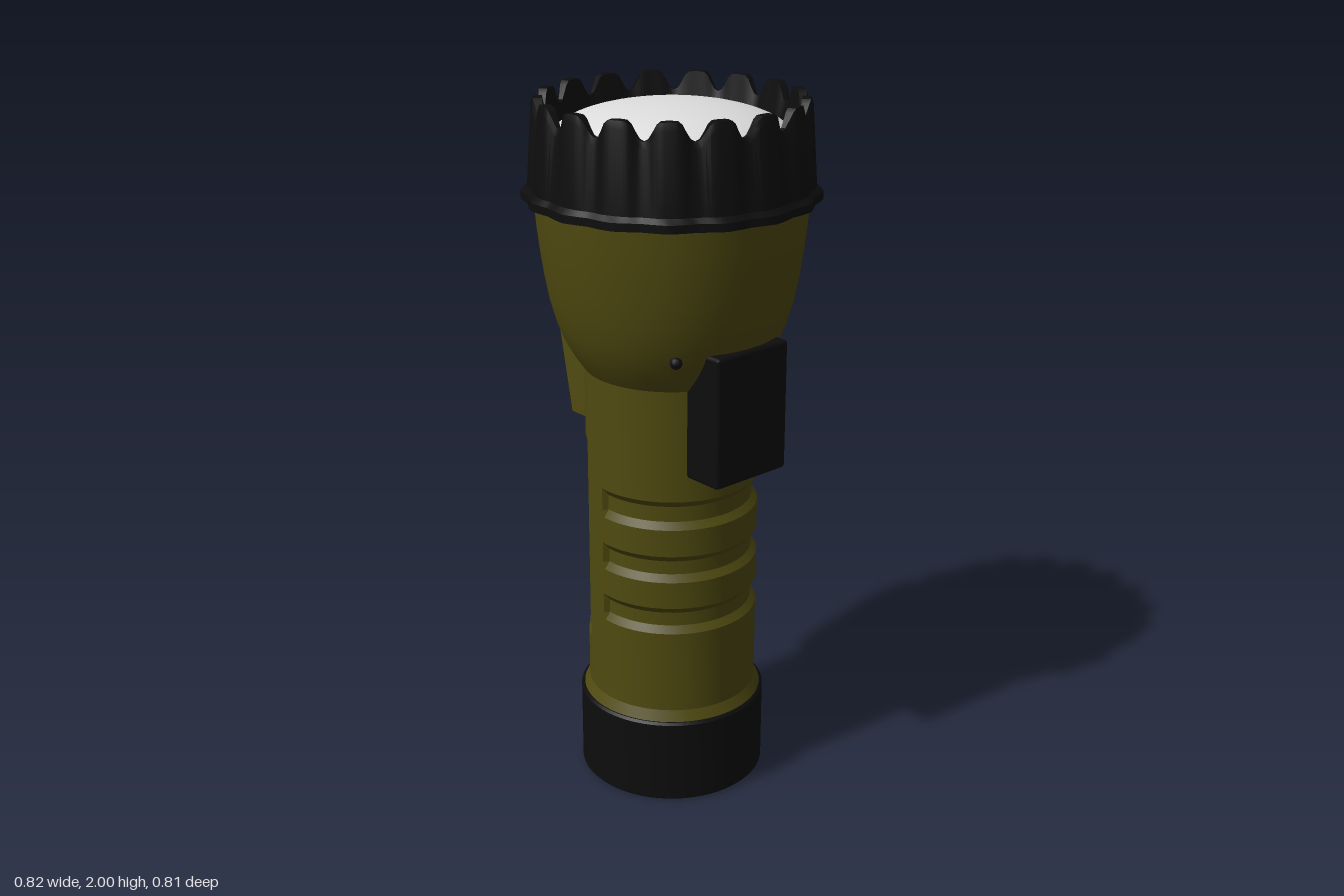
import * as THREE from 'three';
import { toCreasedNormals } from 'three/addons/utils/BufferGeometryUtils.js';
import { RoundedBoxGeometry } from 'three/addons/geometries/RoundedBoxGeometry.js';

const olive = new THREE.MeshStandardMaterial({ color: 0x504a10 });
olive.name = 'olive plastic';
const black = new THREE.MeshStandardMaterial({ color: 0x0d0d0d });
black.name = 'black rubber';
const glass = new THREE.MeshStandardMaterial({ color: 0xdedede });
glass.name = 'pale lens';

const clamp01 = (v) => Math.min(1, Math.max(0, v));

// Skin over rows x angles (degrees from +x); fn(row, angle) returns [radius, y]
function skin(rows, angles, fn, crease = 0.5) {
  const pos = [], index = [], n = angles.length;
  rows.forEach((row) => angles.forEach((deg) => {
    const [r, y] = fn(row, deg), a = THREE.MathUtils.degToRad(deg);
    pos.push(r * Math.cos(a), y, -r * Math.sin(a));
  }));
  for (let i = 0; i < rows.length - 1; i++) {
    for (let j = 0; j < n - 1; j++) {
      const a = i * n + j, b = a + 1, c = a + n, d = c + 1;
      index.push(a, b, c, b, d, c);
    }
  }
  const g = new THREE.BufferGeometry();
  g.setAttribute('position', new THREE.Float32BufferAttribute(pos, 3));
  g.setIndex(index);
  return toCreasedNormals(g, crease);
}

const around = (steps) => Array.from({ length: steps + 1 }, (_, i) => -180 + (360 * i) / steps);
const revolve = (profile, crease) => skin(profile, around(72), (p) => p, crease);

// Handle tube with grip grooves on one side and upright flutes on the other
function handleGeometry() {
  const A = 2, H = 0.02; // wall slope in degrees and height
  const recesses = [
    [-94, 94, 0.85, 0.935], [-94, 94, 0.69, 0.77], [-94, 94, 0.53, 0.61],
    [116, 140, 0.43, 1.05], [145, 165, 0.43, 1.05],
  ];
  const angles = new Set(around(72)), ys = new Set([0.25, 0.285, 1.27]);
  for (const [a0, a1, y0, y1] of recesses) {
    for (const a of [a0, a0 + A, a1 - A, a1]) { angles.add(a); angles.add(-a); }
    for (const y of [y0, y0 + H, y1 - H, y1]) ys.add(+y.toFixed(4));
  }
  const sorted = (s) => [...s].sort((p, q) => p - q);
  return skin(sorted(ys), sorted(angles), (y, deg) => {
    const a = Math.abs(deg);
    let depth = 0;
    for (const [a0, a1, y0, y1] of recesses) {
      const k = Math.min((a - a0) / A, (a1 - a) / A, (y - y0) / H, (y1 - y) / H);
      depth = Math.max(depth, 0.016 * clamp01(k));
    }
    return [(y < 0.26 ? 0.262 : 0.244) - depth, y];
  }, 0.3);
}

// Crown bezel: pointed flange, fluted wall and 17 rounded teeth
function bezelGeometry() {
  const teeth = 17;
  const rows = ['under', 'flangeLow', 'flangeHigh', 'wallLow', 'wallHigh', 'rimOuter', 'rimInner', 'seat'];
  return skin(rows, around(teeth * 12), (row, deg) => {
    const t = (((deg * teeth) / 360) % 1 + 1) % 1;
    const off = Math.min(t, 1 - t) * 2; // 0 on a tooth, 1 in a notch
    const s = clamp01((off - 0.35) / 0.55);
    const notch = s * s * (3 - 2 * s);
    const top = 2 - 0.012 * off * off - 0.04 * notch;
    const star = 0.405 - 0.013 * off;
    switch (row) {
      case 'under': return [0.365, 1.725];
      case 'flangeLow': return [star, 1.73];
      case 'flangeHigh': return [star, 1.752];
      case 'wallLow': return [0.387 - 0.006 * notch, 1.765];
      case 'wallHigh': return [0.372 - 0.012 * notch, top - 0.02];
      case 'rimOuter': return [0.366 - 0.012 * notch, top];
      case 'rimInner': return [0.342, top];
      default: return [0.321, 1.89];
    }
  }, 0.5);
}

// Upright arched slab facing -x, leaning outward toward its top
function leaningSlab(halfWidth, y0, y1, outerX, depth, bevelSize, bevelThickness) {
  const w = halfWidth - bevelSize, lo = y0 + bevelSize, hi = y1 - bevelSize;
  const r = w * 0.75;
  const s = new THREE.Shape();
  s.moveTo(-w, lo);
  s.lineTo(w, lo);
  s.lineTo(w, hi - r);
  s.quadraticCurveTo(w, hi, w - r, hi);
  s.lineTo(r - w, hi);
  s.quadraticCurveTo(-w, hi, -w, hi - r);
  s.closePath();
  const g = new THREE.ExtrudeGeometry(s, {
    depth, bevelEnabled: true, bevelSize, bevelThickness, bevelSegments: 1, curveSegments: 6,
  });
  g.rotateY(-Math.PI / 2);
  g.translate(outerX + depth + bevelThickness, 0, 0);
  const p = g.attributes.position;
  for (let i = 0; i < p.count; i++) p.setX(i, p.getX(i) - (p.getY(i) - 1.06) * 0.205);
  return toCreasedNormals(g, 0.4);
}

export function createModel() {
  const model = new THREE.Group();
  model.name = 'flashlight';
  const body = new THREE.Group();
  body.name = 'body';
  body.position.x = 0.008;
  model.add(body);
  const add = (name, geometry, material) => {
    const mesh = new THREE.Mesh(geometry, material);
    mesh.name = name;
    body.add(mesh);
    return mesh;
  };

  // Tail cap
  add('tailCap', revolve([
    [0.0001, 0], [0.262, 0], [0.269, 0.007], [0.269, 0.248], [0.263, 0.255], [0.24, 0.255],
  ]), black);

  add('handle', handleGeometry(), olive);

  // Bowl shaped head
  add('head', revolve([
    [0.235, 1.255], [0.246, 1.256], [0.273, 1.295], [0.298, 1.34], [0.318, 1.39], [0.335, 1.45],
    [0.348, 1.52], [0.358, 1.59], [0.366, 1.66], [0.371, 1.735],
  ]), olive);

  add('crownBezel', bezelGeometry(), black);

  // Domed lens
  const dome = Array.from({ length: 15 }, (_, i) => {
    const a = (i / 14) * Math.PI / 2;
    return [Math.max(0.0001, 0.328 * Math.cos(a)), 1.88 + 0.1 * Math.sin(a)];
  });
  add('lens', revolve(dome, 0.8), glass);

  // Switch housing and its small pin on the front
  add('switchHousing', new RoundedBoxGeometry(0.19, 0.37, 0.256, 1, 0.01), black)
    .position.set(0.232, 1.19, 0);
  add('pin', new THREE.SphereGeometry(0.017, 10, 8), black).position.set(0.24, 1.36, 0.197);

  // Hanging clip with dark inlay
  add('clip', leaningSlab(0.13, 1.06, 1.61, -0.31, 0.17, 0.035, 0.022), olive);
  add('clipInlay', leaningSlab(0.08, 1.13, 1.54, -0.317, 0.02, 0.008, 0.005), black);

  return model;
}
